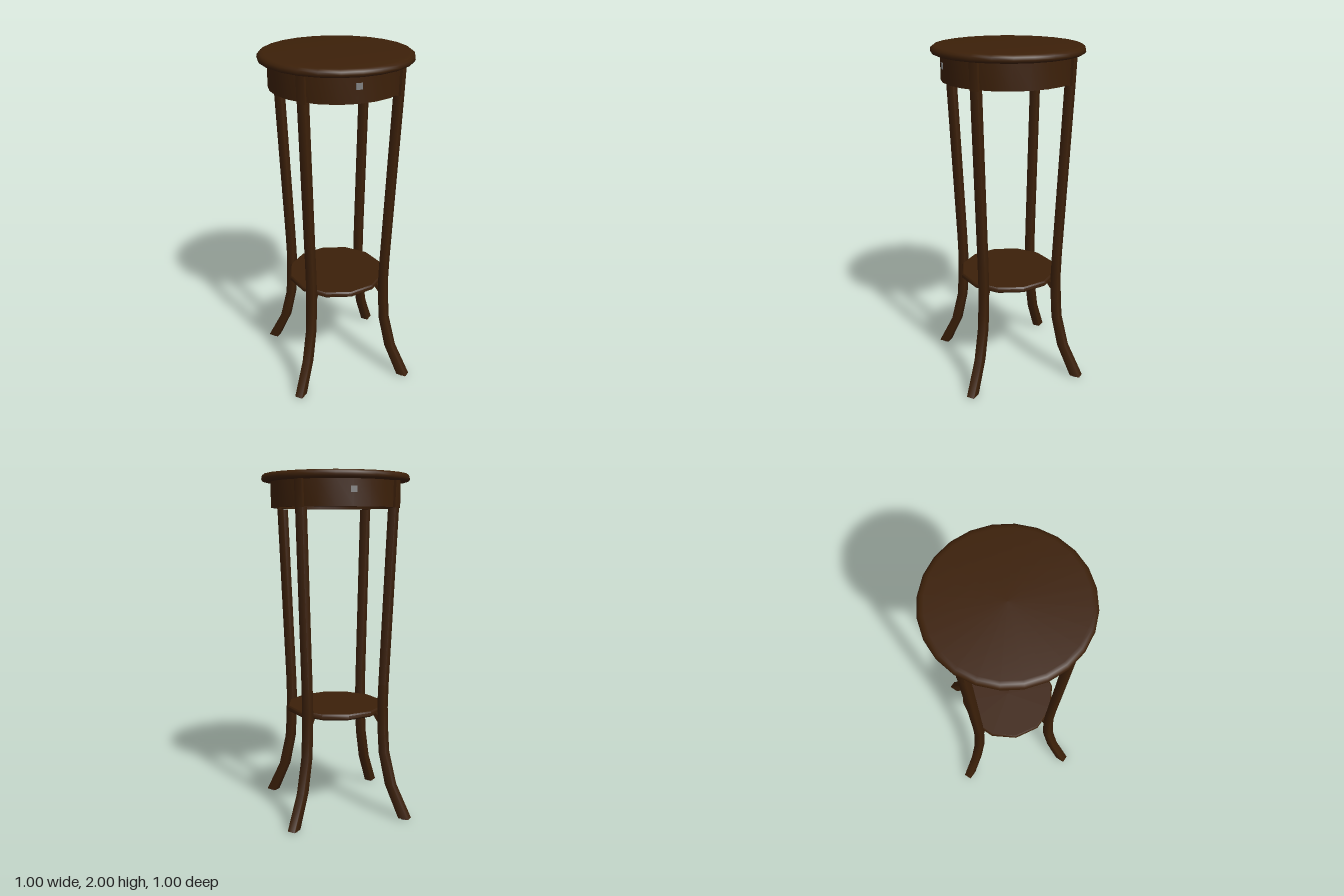
import * as THREE from 'three';
import { toCreasedNormals } from 'three/addons/utils/BufferGeometryUtils.js';

const wood = new THREE.MeshStandardMaterial({ color: 0x3c2009 });
wood.name = 'dark wood';
const metal = new THREE.MeshStandardMaterial({ color: 0x808080 });
metal.name = 'grey metal';

function mesh(name, geometry, material) {
  const m = new THREE.Mesh(geometry, material);
  m.name = name;
  return m;
}

// Turned part from [radius, height] points, listed counter-clockwise
function turned(name, points, sides) {
  const profile = points.map(([r, y]) => new THREE.Vector2(r, y));
  return mesh(name, toCreasedNormals(new THREE.LatheGeometry(profile, sides), 0.8), wood);
}

// Bar with slightly eased corners through stations of [height, inner x, outer x]
function bar(stations, halfWidth) {
  const positions = [], index = [];
  for (const [y, inner, outer] of stations) {
    const h = (outer - inner) / 2, mid = (outer + inner) / 2;
    const a = h * 0.84, b = halfWidth * 0.86, w = halfWidth;
    const ring = [[h, b], [h, -b], [a, -w], [-a, -w], [-h, -b], [-h, b], [-a, w], [a, w]];
    for (const [x, z] of ring) positions.push(mid + x, y, z);
  }
  const last = (stations.length - 1) * 8;
  for (let s = 0; s < last; s += 8) {
    for (let i = 0; i < 8; i++) {
      const j = (i + 1) % 8;
      index.push(s + i, s + j, s + 8 + j, s + i, s + 8 + j, s + 8 + i);
    }
  }
  for (let i = 1; i < 7; i++) {
    index.push(0, i + 1, i, last, last + i, last + i + 1);
  }
  const g = new THREE.BufferGeometry();
  g.setAttribute('position', new THREE.Float32BufferAttribute(positions, 3));
  g.setIndex(index);
  return toCreasedNormals(g, 1);
}

// One leg standing on the +x side, with its foot pad and shelf bracket
function makeLeg() {
  const leg = new THREE.Group();
  leg.name = 'leg';
  leg.add(mesh('legPost', bar([
    [0.008, 0.438, 0.502], [0.2, 0.349, 0.403], [0.39, 0.306, 0.355],
    [0.5, 0.299, 0.347], [0.66, 0.294, 0.341], [0.8, 0.299, 0.345], [1.806, 0.347, 0.394],
  ], 0.025), wood));
  leg.add(mesh('legTongue', bar([[1.806, 0.378, 0.394], [1.956, 0.381, 0.4]], 0.025), wood));

  const pad = mesh('footPad', new THREE.CylinderGeometry(0.02, 0.02, 0.01, 8), metal);
  pad.position.set(0.468, 0.005, 0);
  leg.add(pad);

  const bracket = mesh('shelfBracket', new THREE.BoxGeometry(0.065, 0.024, 0.03), wood);
  bracket.position.set(0.281, 0.608, 0);
  bracket.rotation.z = -0.95;
  leg.add(bracket);
  return leg;
}

export function createModel() {
  const table = new THREE.Group();
  table.name = 'pedestalTable';

  // Round top with a softened edge
  table.add(turned('tableTop', [
    [0, 1.955], [0.41, 1.955], [0.424, 1.961], [0.429, 1.972],
    [0.426, 1.987], [0.412, 1.998], [0.395, 2], [0, 2],
  ], 24));

  // Apron ring, open below
  table.add(turned('apron', [
    [0.352, 1.956], [0.352, 1.81], [0.375, 1.81], [0.375, 1.956],
  ], 24));

  // Flat faceted shelf between the legs
  const shelf = turned('shelf', [
    [0, 0.615], [0.285, 0.615], [0.294, 0.623], [0.294, 0.641], [0.286, 0.649], [0, 0.649],
  ], 12);
  shelf.rotation.y = Math.PI / 12;
  table.add(shelf);

  for (let i = 0; i < 4; i++) {
    const leg = makeLeg();
    leg.rotation.y = i * Math.PI / 2;
    table.add(leg);
  }

  // Small metal plates on two opposite sides of the apron
  for (const side of [1, -1]) {
    const plate = mesh('apronPlate', new THREE.BoxGeometry(0.034, 0.034, 0.009), metal);
    plate.position.set(side * 0.2635, 1.9, side * 0.2635);
    plate.rotation.y = Math.PI / 4;
    table.add(plate);
  }
  return table;
}
